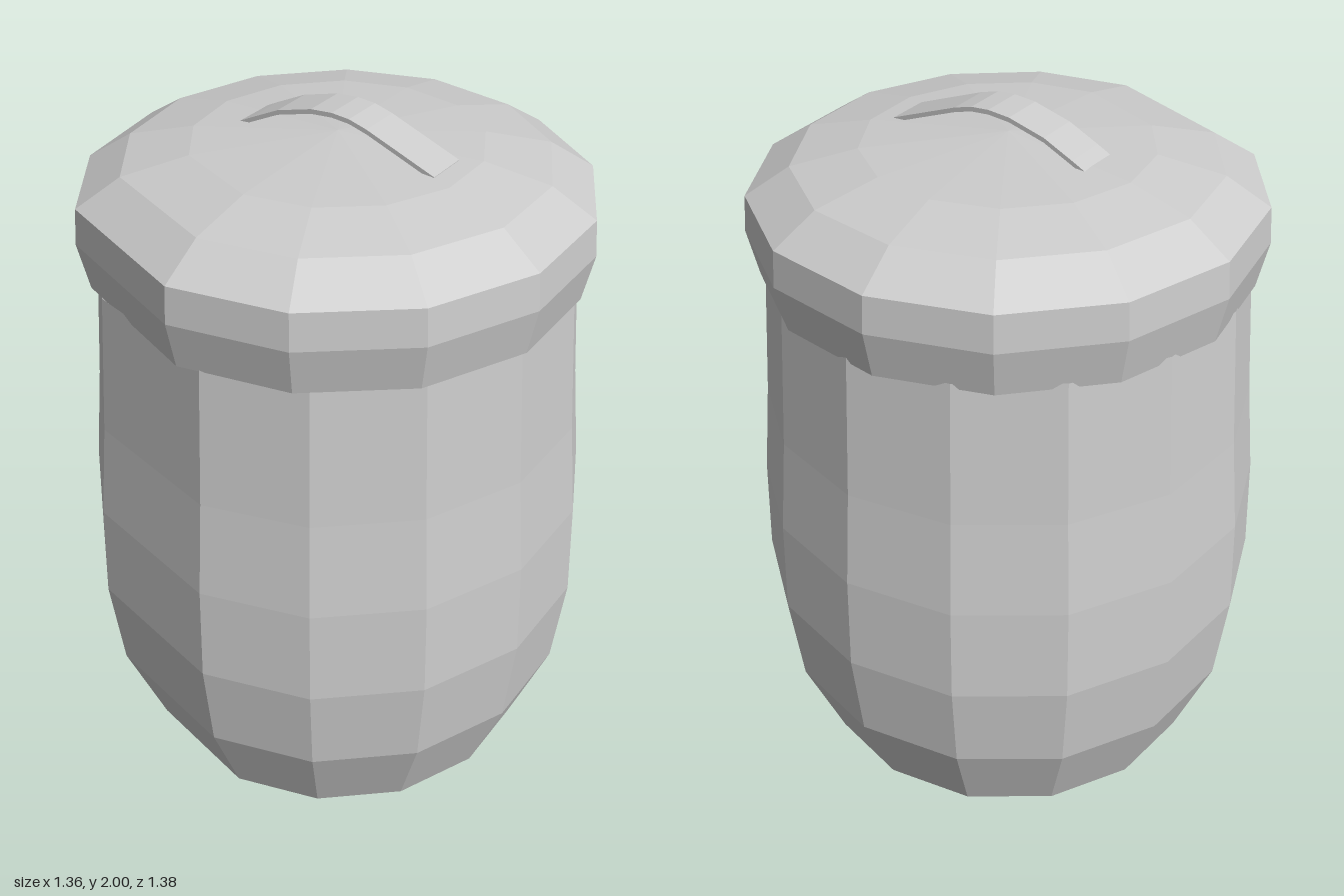
import * as THREE from 'three';
import { mergeGeometries } from 'three/addons/utils/BufferGeometryUtils.js';

const material = new THREE.MeshStandardMaterial({
  color: 0xcccccc, flatShading: true, side: THREE.DoubleSide,
});

// Hand-faceted turned shape: equal facets plus one facet 1.5 times as wide at the front.
function facetedLathe(name, profile, facets, startDegrees) {
  const points = profile.map(([r, y]) => new THREE.Vector2(r, y));
  const step = (2 * Math.PI) / (facets + 1.5);
  const start = THREE.MathUtils.degToRad(startDegrees);
  const geometry = mergeGeometries([
    new THREE.LatheGeometry(points, facets, start, step * facets),
    new THREE.LatheGeometry(points, 1, start - step * 1.5, step * 1.5),
  ]);
  const mesh = new THREE.Mesh(geometry, material);
  mesh.name = name;
  return mesh;
}

// Bent strip handle, extruded across z
function makeHandle() {
  const top = [
    [-0.27, 1.905], [-0.22, 1.93], [-0.14, 1.968], [-0.04, 1.995], [0.02, 2],
    [0.07, 1.996], [0.12, 1.982], [0.21, 1.948], [0.31, 1.91],
  ];
  const thickness = 0.012;
  const outline = [
    ...top,
    ...top.map(([x, y]) => [x, y - thickness]).reverse(),
  ].map(([x, y]) => new THREE.Vector2(x, y));
  const width = 0.115;
  const geometry = new THREE.ExtrudeGeometry(new THREE.Shape(outline), {
    depth: width, bevelEnabled: false,
  });
  geometry.translate(0, 0, -width / 2);
  const mesh = new THREE.Mesh(geometry, material);
  mesh.name = 'lidHandle';
  return mesh;
}

export function createModel() {
  const model = new THREE.Group();
  model.name = 'liddedJar';

  // Bulging body with a flat base
  model.add(facetedLathe('body', [
    [0, 0], [0.39, 0], [0.555, 0.14], [0.66, 0.405], [0.69, 0.67],
    [0.68, 0.94], [0.653, 1.205], [0.624, 1.59],
  ], 13, 3.3));

  // Overhanging domed lid with a rounded rim
  model.add(facetedLathe('lid', [
    [0.59, 1.585], [0.635, 1.575], [0.662, 1.7], [0.654, 1.795],
    [0.54, 1.867], [0.37, 1.905], [0, 1.93],
  ], 12, -2));

  model.add(makeHandle());
  return model;
}
